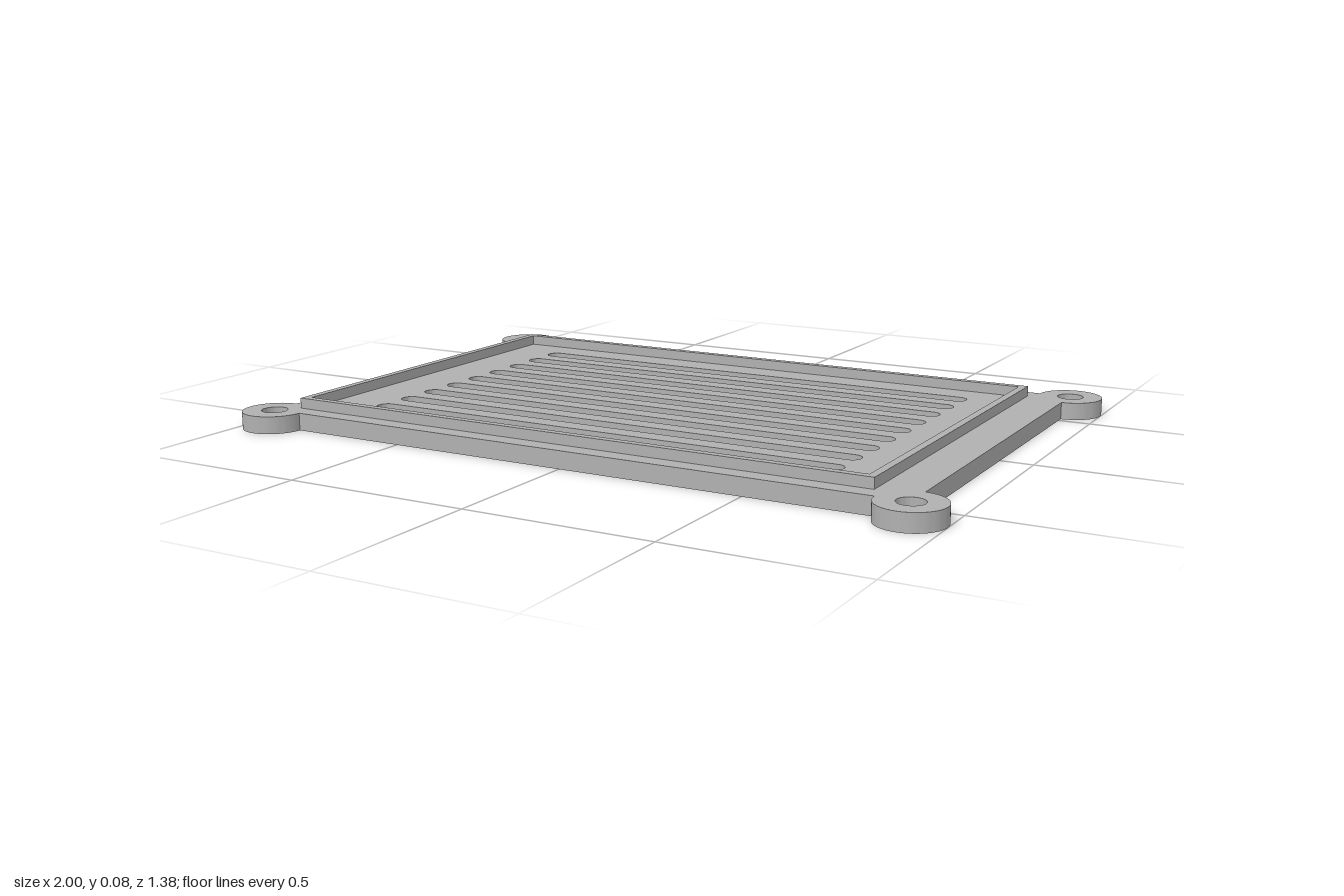
import * as THREE from 'three';
import { toCreasedNormals } from 'three/addons/utils/BufferGeometryUtils.js';

const grey = new THREE.MeshStandardMaterial({ name: 'grey', color: 0xb0b0b0 });

// Extrude a plan shape upward from height y
function slab(name, shape, y, height) {
  const extruded = new THREE.ExtrudeGeometry(shape, { depth: height, bevelEnabled: false, curveSegments: 24 });
  extruded.rotateX(-Math.PI / 2);
  const mesh = new THREE.Mesh(toCreasedNormals(extruded, 0.6), grey);
  mesh.name = name;
  mesh.position.y = y;
  return mesh;
}

function rectangle(path, x0, x1, z) {
  path.moveTo(x0, -z).lineTo(x1, -z).lineTo(x1, z).lineTo(x0, z).closePath();
  return path;
}

export function createModel() {
  const model = new THREE.Group();
  model.name = 'ventCover';

  const cx = 0.914, cz = 0.605, earRadius = 0.086, holeRadius = 0.035;
  const plateTop = 0.047, rimTop = 0.075;

  // Base plate outline with a round screw ear at each corner
  const plate = new THREE.Shape();
  [[1, 1], [-1, 1], [-1, -1], [1, -1]].forEach(([sx, sz], i) => {
    const start = (i - 1) * Math.PI / 2;
    plate.absarc(sx * cx, sz * cz, earRadius, start, start + Math.PI * 1.5, false);
    plate.holes.push(new THREE.Path().absarc(sx * cx, sz * cz, holeRadius, 0, Math.PI * 2, true));
  });

  // Nine round-ended vent slots
  const slotRadius = 0.026, left = -0.707, right = 0.675;
  for (let i = -4; i <= 4; i++) {
    const z = i * 0.105;
    const slot = new THREE.Path();
    slot.absarc(right - slotRadius, z, slotRadius, -Math.PI / 2, Math.PI / 2, false);
    slot.absarc(left + slotRadius, z, slotRadius, Math.PI / 2, Math.PI * 1.5, false);
    slot.closePath();
    plate.holes.push(slot);
  }
  model.add(slab('slottedPlate', plate, 0, plateTop));

  // Thin raised rim, set slightly toward the right-hand side of the plate
  const rim = rectangle(new THREE.Shape(), -0.866, 0.807, 0.555);
  rim.holes.push(rectangle(new THREE.Path(), -0.845, 0.786, 0.534));
  model.add(slab('raisedRim', rim, plateTop, rimTop - plateTop));

  return model;
}
